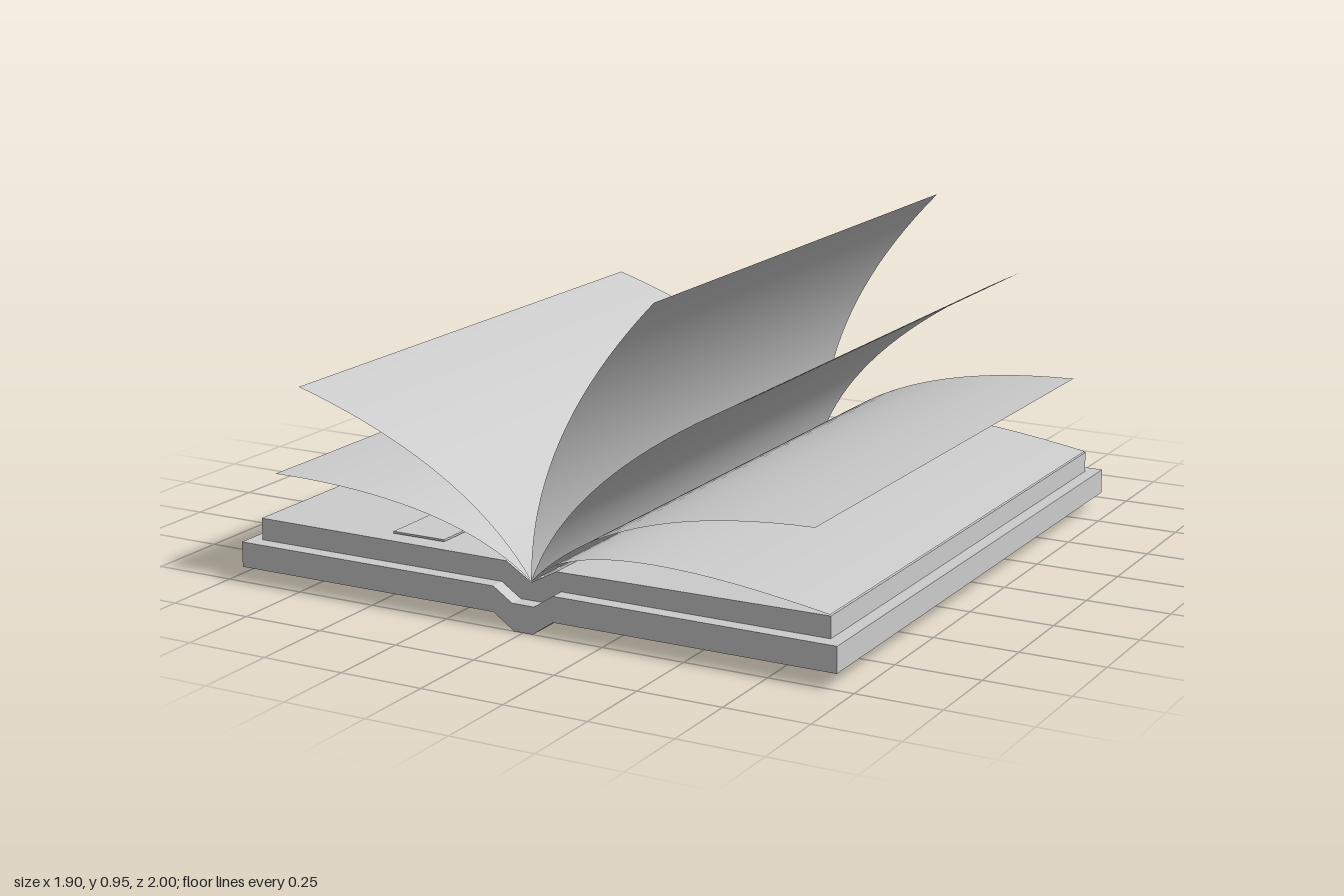
import * as THREE from 'three';

const material = new THREE.MeshStandardMaterial({ color: 0xcccccc });
const sheetMaterial = new THREE.MeshStandardMaterial({ color: 0xcccccc, side: THREE.DoubleSide });

// Solid with a cross-section in x/y, running from z0 to z1
function slab(name, points, z0, z1) {
  const shape = new THREE.Shape(points.map(([x, y]) => new THREE.Vector2(x, y)));
  const geometry = new THREE.ExtrudeGeometry(shape, { depth: z1 - z0, bevelEnabled: false });
  geometry.translate(0, 0, z0);
  const mesh = new THREE.Mesh(geometry, material);
  mesh.name = name;
  return mesh;
}

// Thin loose page: a plane bent along a curve from the gutter to its free edge
function page(name, [bendX, bendY], [endX, endY]) {
  const z0 = -0.86, z1 = 0.955, steps = 20;
  const curve = new THREE.QuadraticBezierCurve(
    new THREE.Vector2(0, 0.135),
    new THREE.Vector2(bendX, bendY),
    new THREE.Vector2(endX, endY)
  );
  const geometry = new THREE.PlaneGeometry(1, 1, steps, 1);
  const pos = geometry.attributes.position;
  for (let i = 0; i < pos.count; i++) {
    const p = curve.getPoint(pos.getX(i) + 0.5);
    pos.setXYZ(i, p.x, p.y, pos.getY(i) > 0 ? z0 : z1);
  }
  geometry.computeVertexNormals();
  const mesh = new THREE.Mesh(geometry, sheetMaterial);
  mesh.name = name;
  return mesh;
}

export function createModel() {
  const book = new THREE.Group();
  book.name = 'openBook';

  // Cover boards joined by the sunken spine
  book.add(slab('cover', [
    [-0.95, 0.045], [-0.095, 0.045], [-0.03, 0], [0.03, 0], [0.095, 0.045], [0.95, 0.045],
    [0.95, 0.12], [0.095, 0.12], [0.035, 0.08], [-0.035, 0.08], [-0.095, 0.12], [-0.95, 0.12],
  ], -0.905, 1));

  // Block of closed pages with the gutter in the middle
  book.add(slab('pageBlock', [
    [-0.91, 0.12], [-0.095, 0.12], [-0.035, 0.08], [0.035, 0.08], [0.095, 0.12], [0.91, 0.12],
    [0.91, 0.182], [0.27, 0.177], [0.08, 0.175], [0, 0.132], [-0.08, 0.182], [-0.91, 0.185],
  ], -0.86, 0.955));

  // Loose pages fanning out of the gutter
  const pages = [
    ['loosePageLeftLow', [-0.25, 0.33], [-0.855, 0.325]],
    ['loosePageLeftHigh', [-0.2, 0.43], [-0.762, 0.592]],
    ['loosePageRightTop', [0, 0.55], [0.388, 0.955]],
    ['loosePageRightHigh', [0.12, 0.46], [0.672, 0.73]],
    ['loosePageRightMiddle', [0.25, 0.4], [0.862, 0.413]],
    ['loosePageRightLow', [0.15, 0.315], [0.907, 0.185]],
  ];
  for (const [name, bend, end] of pages) book.add(page(name, bend, end));

  // Bookmark ribbon with a notched tail, lying on the left pages
  const ribbonShape = new THREE.Shape([
    [-0.49, 0.9], [-0.32, 0.9], [-0.32, -1], [-0.405, -0.865], [-0.49, -1],
  ].map(([x, z]) => new THREE.Vector2(x, z)));
  const ribbon = new THREE.Mesh(
    new THREE.ExtrudeGeometry(ribbonShape, { depth: 0.006, bevelEnabled: false }), material);
  ribbon.rotation.x = Math.PI / 2;
  ribbon.position.y = 0.192;
  ribbon.name = 'bookmark';
  book.add(ribbon);

  return book;
}
